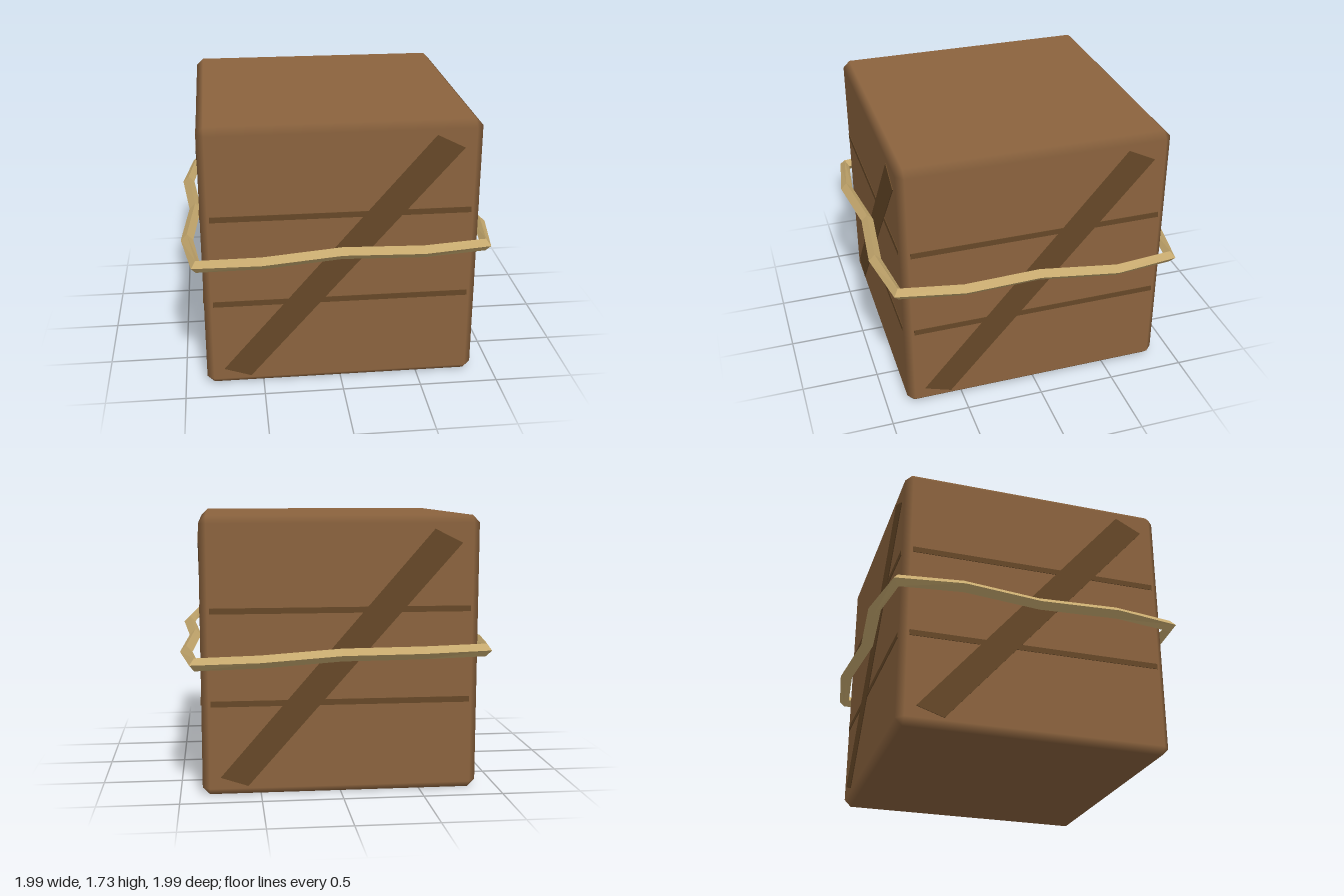
import * as THREE from 'three';
import { ConvexGeometry } from 'three/addons/geometries/ConvexGeometry.js';

const HALF = 0.8625, BEVEL = 0.045, MID = 0.8625;

// Chamfered cube whose normals blend softly across the bevels
function bevelledCube() {
  const k = HALF - BEVEL, pts = [];
  for (const x of [-1, 1]) for (const y of [-1, 1]) for (const z of [-1, 1]) {
    pts.push(new THREE.Vector3(x * HALF, y * k, z * k));
    pts.push(new THREE.Vector3(x * k, y * HALF, z * k));
    pts.push(new THREE.Vector3(x * k, y * k, z * HALF));
  }
  const geo = new ConvexGeometry(pts);
  const p = geo.attributes.position, n = geo.attributes.normal;
  const axis = v => (Math.abs(v) > HALF - 0.001 ? Math.sign(v) : 0);
  for (let i = 0; i < p.count; i++) n.setXYZ(i, axis(p.getX(i)), axis(p.getY(i)), axis(p.getZ(i)));
  return geo;
}

// Closed cord with a diamond section that follows a list of points
function cord(points, r) {
  const up = new THREE.Vector3(0, 1, 0), count = points.length, pos = [], index = [];
  points.forEach((p, i) => {
    const a = points[(i + count - 1) % count], b = points[(i + 1) % count];
    const t1 = p.clone().sub(a).normalize(), t2 = b.clone().sub(p).normalize();
    const out = t1.add(t2).cross(up).normalize();
    for (const [o, u] of [[1, 0], [0, 1], [-1, 0], [0, -1]]) {
      const v = p.clone().addScaledVector(out, o * r).addScaledVector(up, u * r);
      pos.push(v.x, v.y, v.z);
    }
    for (let j = 0; j < 4; j++) {
      const n = ((i + 1) % count) * 4, k = (j + 1) % 4;
      index.push(i * 4 + j, n + j, n + k, i * 4 + j, n + k, i * 4 + k);
    }
  });
  const geo = new THREE.BufferGeometry();
  geo.setAttribute('position', new THREE.Float32BufferAttribute(pos, 3));
  geo.setIndex(index);
  const flat = geo.toNonIndexed();
  flat.computeVertexNormals();
  return flat;
}

export function createModel() {
  const wood = new THREE.MeshStandardMaterial({ color: 0x8b633e });
  const darkWood = new THREE.MeshStandardMaterial({ color: 0x664828 });
  const rope = new THREE.MeshStandardMaterial({ color: 0xc6a96e });
  wood.name = 'wood';
  darkWood.name = 'darkWood';
  rope.name = 'rope';

  const model = new THREE.Group();
  model.name = 'crate';
  const add = (parent, name, geo, mat, x = 0, y = 0, z = 0) => {
    const mesh = new THREE.Mesh(geo, mat);
    mesh.name = name;
    mesh.position.set(x, y, z);
    parent.add(mesh);
  };

  add(model, 'crateBody', bevelledCube(), wood, 0, MID, 0);

  // Plank lines and a diagonal brace on each of the four sides
  const brace = new THREE.Shape([[-0.75, 0.117], [-0.58, 0.06], [0.748, 1.557], [0.576, 1.643]]
    .map(([x, y]) => new THREE.Vector2(x, y)));
  const braceGeo = new THREE.ExtrudeGeometry(brace, { depth: 0.006, bevelEnabled: false });
  const lineGeo = new THREE.BoxGeometry(1.61, 0.036, 0.005);
  for (let i = 0; i < 4; i++) {
    const side = new THREE.Group();
    side.name = 'sideTrim' + (i + 1);
    side.rotation.y = i * Math.PI / 2;
    add(side, 'diagonalBrace', braceGeo, darkWood, 0, 0, HALF - 0.001);
    for (const y of [0.58, 1.152]) add(side, 'plankLine', lineGeo, darkWood, 0, y, HALF + 0.0015);
    model.add(side);
  }

  // Slack rope around the middle: four points per side with wandering heights
  const heights = [
    0.865, 0.895, 0.915, 0.925, 0.925, 0.91, 0.885, 0.85,
    0.835, 0.855, 0.88, 0.893, 0.895, 0.89, 0.878, 0.868];
  const outline = [[-0.9, 0.9], [-0.5, 0.957], [0, 0.907], [0.5, 0.957]];
  const path = heights.map((y, i) => new THREE.Vector3(outline[i % 4][0], y, outline[i % 4][1])
    .applyAxisAngle(new THREE.Vector3(0, 1, 0), Math.floor(i / 4) * Math.PI / 2));
  add(model, 'ropeBand', cord(path, 0.04), rope);

  return model;
}
